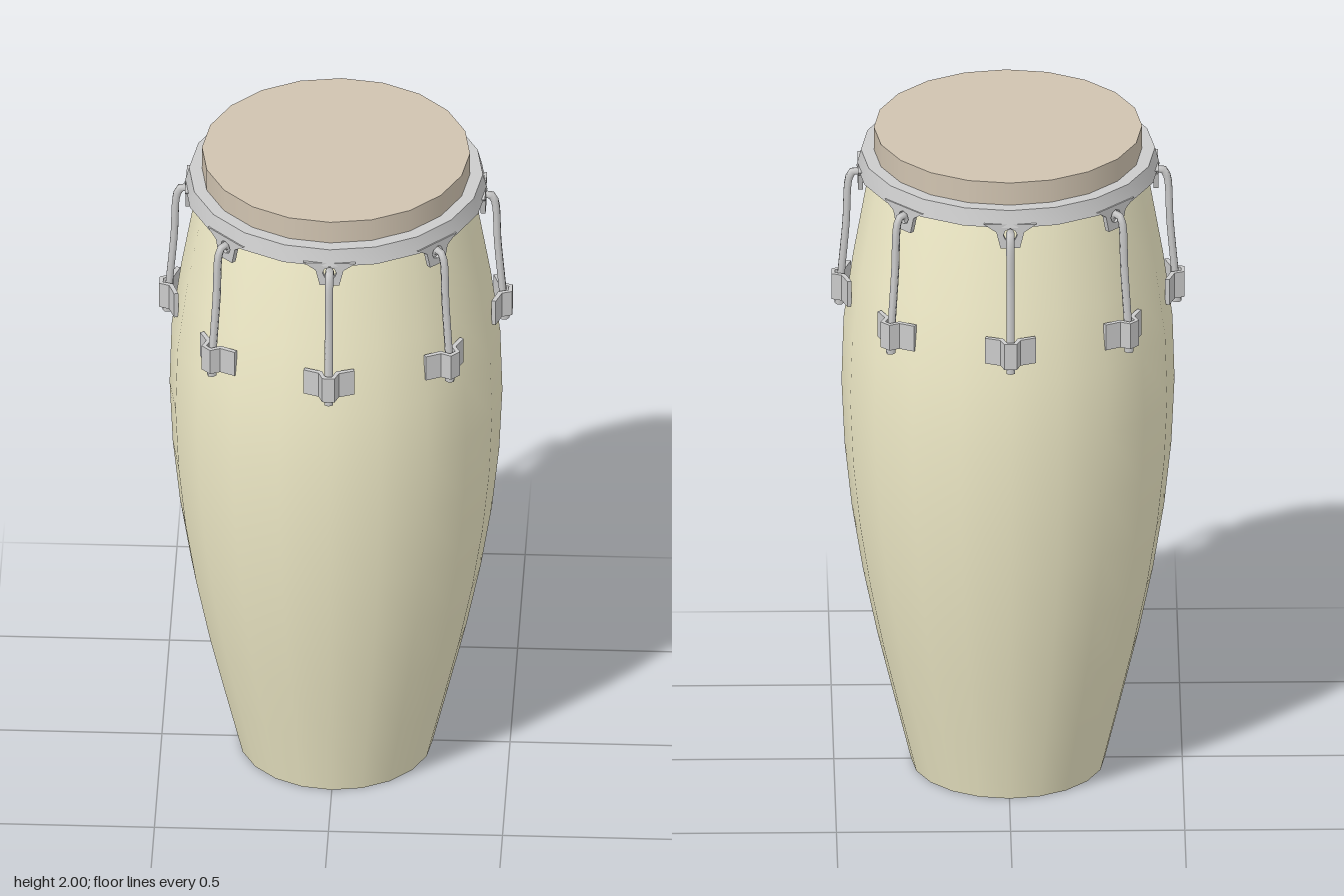
import * as THREE from 'three';
import { toCreasedNormals } from 'three/addons/utils/BufferGeometryUtils.js';

const SIDES = 20;
const V = (x, y) => new THREE.Vector2(x, y);

export function createModel() {
  const drum = new THREE.Group();
  drum.name = 'drum';

  const wood = new THREE.MeshStandardMaterial({ color: 0xf0ebc8, side: THREE.DoubleSide });
  const skin = new THREE.MeshStandardMaterial({ color: 0xd0c3b0 });
  const metal = new THREE.MeshStandardMaterial({ color: 0xcccccc });

  const add = (parent, name, geometry, material) => {
    const mesh = new THREE.Mesh(geometry, material);
    mesh.name = name;
    parent.add(mesh);
    return mesh;
  };

  // Barrel-shaped shell, open at the bottom
  const shellProfile = [
    [0.278, 0], [0.327, 0.2], [0.375, 0.4], [0.416, 0.6], [0.448, 0.8], [0.469, 1.0],
    [0.478, 1.2], [0.472, 1.4], [0.445, 1.6], [0.41, 1.8], [0.39, 1.9],
  ].map(([r, y]) => V(r, y));
  add(drum, 'shell', new THREE.LatheGeometry(shellProfile, SIDES), wood);

  // Drum head
  const head = new THREE.CylinderGeometry(0.385, 0.385, 0.12, SIDES);
  head.translate(0, 1.94, 0);
  add(drum, 'head', head, skin);

  // Tension rim, a closed profile flaring slightly downwards
  const rimProfile = [
    V(0.39, 1.88), V(0.435, 1.88), V(0.422, 1.93), V(0.38, 1.93), V(0.39, 1.88),
  ];
  const rim = new THREE.LatheGeometry(rimProfile, SIDES);
  add(drum, 'rim', toCreasedNormals(rim, 0.6), metal);

  // Lug tab hanging from the rim, with a hole for the hook
  const tabShape = new THREE.Shape([
    V(-0.075, 1.89), V(-0.04, 1.865), V(-0.028, 1.815),
    V(0.028, 1.815), V(0.04, 1.865), V(0.075, 1.89),
  ]);
  tabShape.holes.push(new THREE.Path().absarc(0, 1.856, 0.02, 0, Math.PI * 2, true));
  const tab = new THREE.ExtrudeGeometry(tabShape, { depth: 0.014, bevelEnabled: false, curveSegments: 4 });
  tab.translate(0, 0, 0.417);

  // Hooked tension rod
  const rodPath = new THREE.CurvePath();
  const rodPoints = [
    [1.83, 0.41], [1.852, 0.416], [1.864, 0.432], [1.86, 0.447], [1.84, 0.457],
    [1.7, 0.465], [1.55, 0.478], [1.45, 0.486],
  ].map(([y, z]) => new THREE.Vector3(0, y, z));
  for (let i = 1; i < rodPoints.length; i++) {
    rodPath.add(new THREE.LineCurve3(rodPoints[i - 1], rodPoints[i]));
  }
  const rodCurve = new THREE.CatmullRomCurve3(rodPoints);
  const rod = new THREE.TubeGeometry(rodCurve, 24, 0.012, 6);
  const rodEnd = new THREE.CylinderGeometry(0.014, 0.014, 0.03, 6);
  rodEnd.translate(0, 1.46, 0.484);

  // Hat-section bracket gripping the rod, drawn from above
  const outer = [[0.073, 0.462], [0.029, 0.478], [0.018, 0.507]];
  const inner = [[0.01, 0.496], [0.02, 0.467], [0.07, 0.45]];
  const mirror = (pts) => pts.map(([x, z]) => V(-x, z)).reverse();
  const right = (pts) => pts.map(([x, z]) => V(x, z));
  const bracketShape = new THREE.Shape([
    ...right(outer), ...mirror(outer), ...mirror(inner), ...right(inner),
  ]);
  const bracket = new THREE.ExtrudeGeometry(bracketShape, { depth: 0.08, bevelEnabled: false });
  bracket.rotateX(Math.PI / 2).translate(0, 1.545, 0);

  // Eight sets of tuning hardware around the shell
  for (let i = 0; i < 8; i++) {
    const lug = new THREE.Group();
    lug.name = 'tuningLug';
    lug.rotation.y = (i * Math.PI) / 4;
    add(lug, 'rimTab', tab, metal);
    add(lug, 'hookRod', rod, metal);
    add(lug, 'rodEnd', rodEnd, metal);
    add(lug, 'bracket', bracket, metal);
    drum.add(lug);
  }

  return drum;
}
